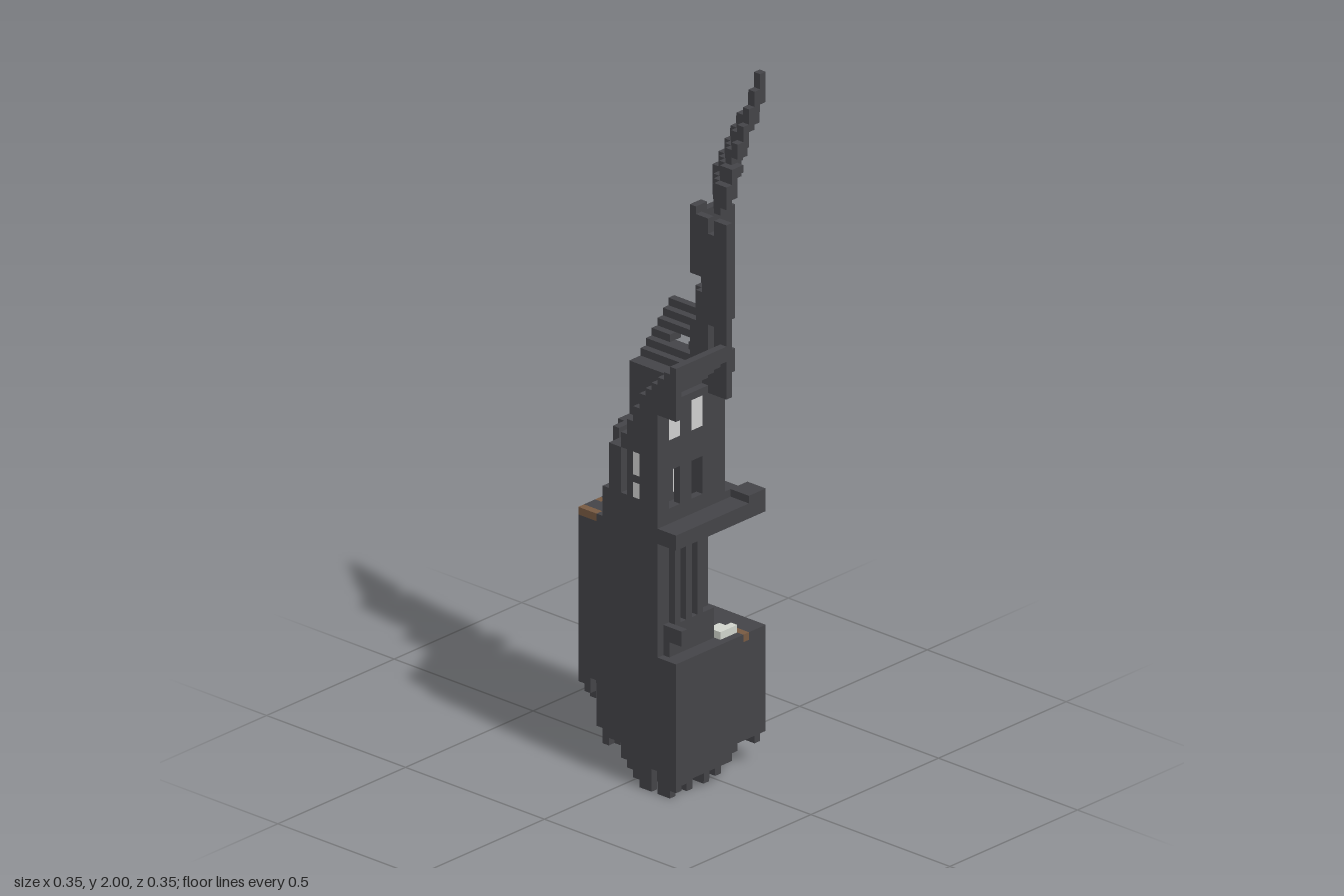
import * as THREE from 'three';

const V = 2 / 91;            // edge of one block
const N = 16;                // blocks across

const material = (name, color) => {
  const m = new THREE.MeshStandardMaterial({ color });
  m.name = name;
  return m;
};
// material codes used by the part rules (0 is empty)
const STONE = 1, GLASS = 2, WOOD = 3, BLUE = 4, PALE = 5;
const hash = (i, j, k) => {
  const s = Math.sin(i * 12.99 + j * 78.23 + k * 37.72) * 43758.55;
  return s - Math.floor(s);
};
const within = (a, lo, hi) => a >= lo && a <= hi;

// Ragged rock under the floor
const UNDER_X = [11, 9, 9, 5, 4, 4, 4, 3, 2, 1, 0, 0, 0, 0, 0, 0];
const UNDER_Z = [3, 3, 3, 3, 2, 2, 2, 2, 1, 0, 0, 0, 0, 0, 0, 0];
function foundation(i, j, k) {
  if (j === 17 && i >= 14 && k === 3) return WOOD;
  const bottom = Math.max(UNDER_X[i], UNDER_Z[k]) + Math.floor(hash(i, 1, k) * 3.2) * (i > 0 ? 1 : 0);
  return j >= bottom ? STONE : 0;
}

// Thick lower walls around a room and a door passage
function lowerWalls(i, j, k) {
  if (j === 18 && within(i, 13, 14) && within(k, 4, 6) && i + k > 17) return PALE;
  if (within(j, 20, 21) && i >= 13 && k === 14) return STONE;
  if (k <= 6) return i <= 5 || (k === 6 && i <= 10 && i % 2 === 0) ? STONE : 0;
  if (j < 22 && k < 15) return i <= 13 ? STONE : 0;
  const pilaster = k === 9 || k === 11 || k === 13;
  return i <= (pilaster ? 13 : 12) - (k === 10 || k === 12 ? 1 : 0) ? STONE : 0;
}

// Stepped plan of the upper storey
const MIN_X = [1, 1, 1, 1, 1, 1, 1, 1, 1, 1, 2, 2, 3, 4, 4, 4];
const inside = (i, k) => k < N && i >= MIN_X[k];

function ledge(i, j, k) {
  if (j === 34 && i === 0 && k === 0) return BLUE;
  if (j === 33) {
    if ((k === 15 && i <= 2) || (i === 0 && k === 12)) return WOOD;
    return STONE;
  }
  if (j === 35 && (i >= 13) !== (k <= 2) && i > 2) return 0;   // sunk threshold strips
  return inside(i, k) || (i === 0 && k > 0 && k < 9) ? STONE : 0;
}

// Outer walls: wing ends, low parapet and stepped buttresses
function outerWalls(i, j, k) {
  if (k <= 6) {                                    // end of the side wing
    if (i !== 1 || j > 55 - k || (k === 0 && (j < 39 || j > 49))) return 0;
    if (k === 1 && j === 44) return 0;
    return k <= 1 && within(j, 42, 49) ? GLASS : STONE;
  }
  if (i < 5) {                                     // parapet on the cut corner
    const edge = k > 7 && inside(i, k) && !(inside(i - 1, k) && inside(i, k + 1) && inside(i - 1, k + 1));
    return edge && j < (i < 3 ? 44 : 38) ? STONE : 0;
  }
  if (k < 15 && !(i === 5 && k > 8)) return 0;
  if (i >= 10) {                                   // end of the front wing
    if (i >= 13 && j < 50) return 0;
    return j <= 39 + i ? STONE : 0;
  }
  const m = Math.min(16 - i, k);
  if (j >= (m >= 10 ? 44 : 44 + 2 * (10 - m))) return 0;
  if (!within(j, 38, 43)) return STONE;
  if (i === 7) return 0;                           // open slit
  return i === 9 && j !== 40 ? GLASS : STONE;
}

// Walls along the two wings, with windows
function wingWalls(i, j, k) {
  if (k === 7 && within(i, 1, 11)) {               // side wing
    const pane = within(i, 2, 5) || within(i, 7, 10);
    return pane && within(j, 38, 43) ? GLASS : STONE;
  }
  if (k === 4 && within(i, 10, 12)) return STONE;  // inner corner pier
  const bay = within(k, 8, 9) || within(k, 12, 13);
  const low = bay && within(j, 37, 41);
  if (i === 9 && within(k, 8, 14)) return low ? GLASS : STONE;
  if (i === 12 && within(k, 5, 14)) {              // inner wall, open below, glazed above
    if (low) return 0;
    return bay && within(j, 46, 49) ? GLASS : STONE;
  }
  return 0;
}

// Stepped half gables: one runs to -x, the other to +z
function wingRoofs(i, j, k) {
  if (k <= 6 && within(i, 1, 9)) {
    if (j === 53 && within(i, 4, 6)) return 0;
    return within(j, 55 - k, 56 - k) ? STONE : 0;
  }
  if (i >= 10 && k >= 7) return within(j, 40 + i, 41 + i) ? STONE : 0;
  return 0;
}

// Two walls of the tall shaft with narrow slits and a broken corner
function shaft(i, j, k) {
  if (i < 10 || k > 6 || (i > 10 && k < 6)) return 0;
  if (j === 73) return i === 10 && k >= 5 ? STONE : 0;
  if (i === 10 && k === 6 && within(j, 59, 64)) return 0;
  if (k === 6 && i > 10) {
    if (i === 11 && within(j, 63, 64)) return 0;
    if (i === 13 && (within(j, 55, 58) || j > 70)) return 0;
  } else if (k < 6) {
    if (k === 5 && within(j, 63, 64)) return 0;
    if (k === 2 && within(j, 54, 58)) return 0;
    if (k === 0 && (within(j, 53, 56) || j > 71)) return 0;
  }
  return STONE;
}

// Broken shell of the spire
function spire(i, j, k) {
  const u = 16 - i, r = Math.min(6.4, (91 - j) / 2.6 + 0.62);
  const d = Math.max(u, k, 0.72 * (u + k));
  if (d > r || d <= r - 1.4) return 0;
  return j < 87 && hash(i, j, k) < 0.06 ? 0 : STONE;
}

const PARTS = [
  ['foundation', 0, 18, foundation],
  ['lowerWalls', 18, 33, lowerWalls],
  ['ledge', 33, 36, ledge],
  ['outerWalls', 36, 57, outerWalls],
  ['wingWalls', 36, 51, wingWalls],
  ['wingRoofs', 46, 57, wingRoofs],
  ['shaft', 50, 74, shaft],
  ['spire', 74, 91, spire],
];

// Each side of a block: outward step and four corners, counter-clockwise from outside
const SIDES = [0, 1, 2].flatMap((axis) => [1, -1].map((sign) => {
  const b = (axis + 1) % 3, c = (axis + 2) % 3;
  const step = [0, 0, 0];
  step[axis] = sign;
  const ring = [[0, 0], [1, 0], [1, 1], [0, 1]].map(([p, q]) => {
    const v = [0, 0, 0];
    v[axis] = sign > 0 ? 1 : 0;
    v[b] = p;
    v[c] = q;
    return v;
  });
  return { step, ring: sign > 0 ? ring : ring.reverse() };
}));

function blockGeometry(cells, filled) {
  const pos = [], nor = [], idx = [];
  for (const cell of cells) {
    for (const { step, ring } of SIDES) {
      if (filled(...cell.map((c, a) => c + step[a]))) continue;
      const n = pos.length / 3;
      for (const v of ring) {
        pos.push((cell[0] + v[0] - N / 2) * V, (cell[1] + v[1]) * V, (cell[2] + v[2] - N / 2) * V);
        nor.push(...step);
      }
      idx.push(n, n + 1, n + 2, n, n + 2, n + 3);
    }
  }
  const g = new THREE.BufferGeometry();
  g.setAttribute('position', new THREE.Float32BufferAttribute(pos, 3));
  g.setAttribute('normal', new THREE.Float32BufferAttribute(nor, 3));
  g.setIndex(idx);
  return g;
}

export function createModel() {
  const materials = [null, material('dark stone', 0x444448), material('pale glass', 0xcecece),
    material('brown wood', 0x785a42), material('deep blue', 0x3a3890), material('pale fitting', 0xd0d4cc)];
  const model = new THREE.Group();
  model.name = 'ruinedTower';

  // fill the grid part by part
  const grid = new Set();
  const key = (i, j, k) => (j * 32 + i + 4) * 32 + k + 4;
  const filled = (i, j, k) => grid.has(key(i, j, k));
  const built = PARTS.map(([name, from, to, rule]) => {
    const byColour = new Map();
    for (let j = from; j < to; j++) for (let i = 0; i < N; i++) for (let k = 0; k < N; k++) {
      const code = filled(i, j, k) ? 0 : rule(i, j, k);
      if (!code) continue;
      grid.add(key(i, j, k));
      if (!byColour.has(code)) byColour.set(code, []);
      byColour.get(code).push([i, j, k]);
    }
    return [name, byColour];
  });

  for (const [name, byColour] of built) {
    const part = new THREE.Group();
    part.name = name;
    for (const [code, cells] of byColour) {
      const mesh = new THREE.Mesh(blockGeometry(cells, filled), materials[code]);
      mesh.name = `${name} ${materials[code].name}`;
      part.add(mesh);
    }
    model.add(part);
  }
  return model;
}
